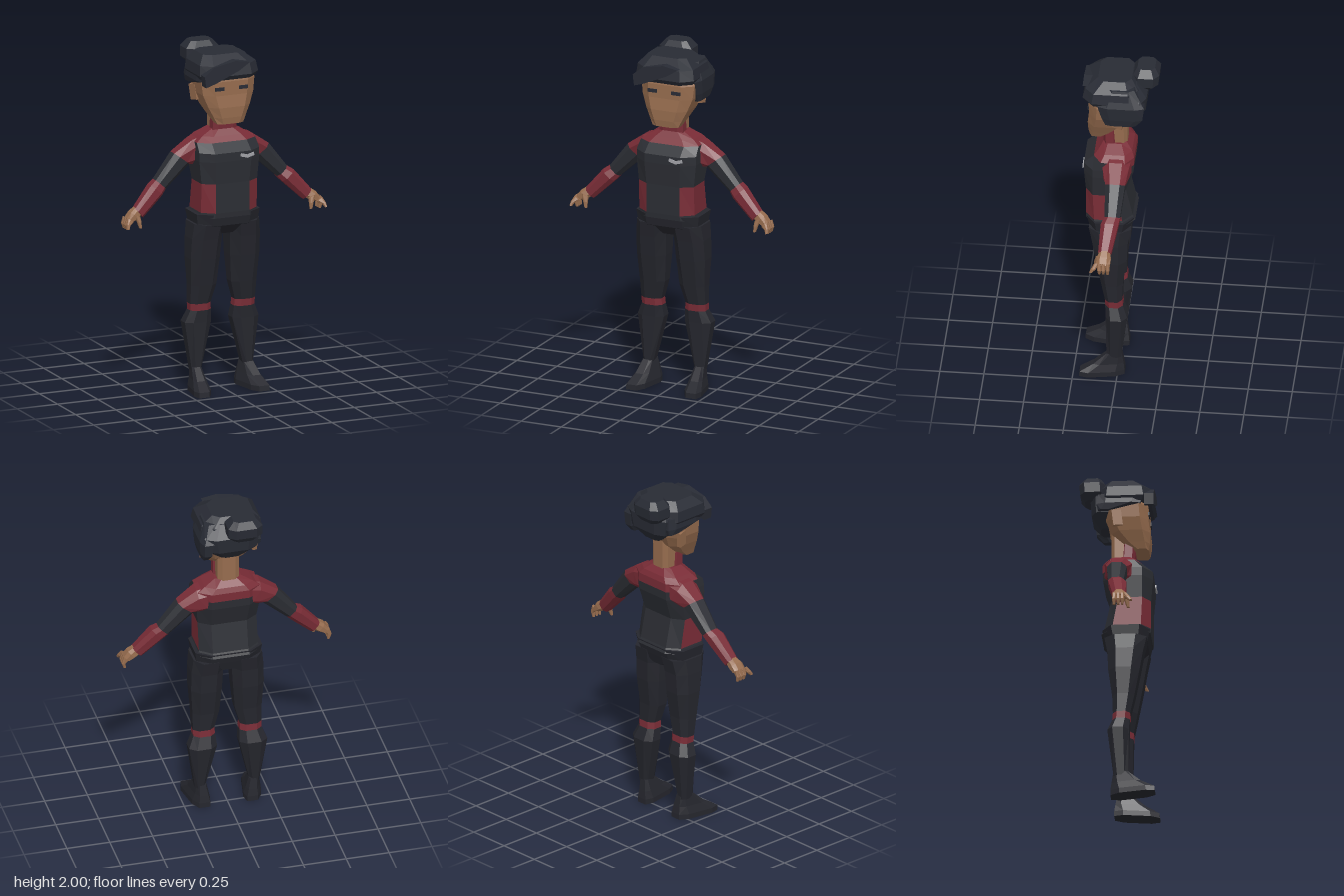
import * as THREE from 'three';

const paint = (name, color) => {
  const m = new THREE.MeshStandardMaterial({ color });
  m.name = name;
  return m;
};

// Eight-sided chamfered outline; k sets how long the flat sides are.
const outline = (k) => [[1, -k], [1, k], [k, 1], [-k, 1], [-1, k], [-1, -k], [-k, -1], [k, -1]];

// Level ring: centre x, height, half width, front z, back z.
function levelRing([cx, y, hw, zf, zb], k = 0.6) {
  return outline(k).map(([a, b]) => new THREE.Vector3(cx + a * hw, y, (zf + zb) / 2 + (b * (zf - zb)) / 2));
}

// Limb ring: top x, top y, bottom x, bottom y, front z, back z.
function limbRing([tx, ty, bx, by, zf, zb], k = 0.5) {
  return outline(k).map(([a, b]) => new THREE.Vector3(
    (tx + bx) / 2 + (a * (tx - bx)) / 2,
    (ty + by) / 2 + (a * (ty - by)) / 2,
    (zf + zb) / 2 + (b * (zf - zb)) / 2));
}

// Faceted skin through the rings, capped at both ends; pick(band, side) gives the material.
function loft(name, rings, pick) {
  const choose = typeof pick === 'function' ? pick : () => pick;
  const buckets = new Map();
  let volume = 0;
  const tri = (mat, a, b, c) => {
    if (!buckets.has(mat)) buckets.set(mat, []);
    buckets.get(mat).push([a, b, c]);
    volume += a.dot(new THREE.Vector3().crossVectors(b, c));
  };
  const n = rings[0].length;
  for (let i = 0; i < rings.length - 1; i++) {
    for (let j = 0; j < n; j++) {
      const k = (j + 1) % n, m = choose(i, j);
      tri(m, rings[i][j], rings[i + 1][j], rings[i + 1][k]);
      tri(m, rings[i][j], rings[i + 1][k], rings[i][k]);
    }
  }
  const first = rings[0], last = rings[rings.length - 1];
  for (let j = 1; j < n - 1; j++) {
    tri(choose(0, 0), first[0], first[j], first[j + 1]);
    tri(choose(rings.length - 2, 0), last[0], last[j + 1], last[j]);
  }
  const geo = new THREE.BufferGeometry(), pos = [], mats = [];
  for (const [mat, tris] of buckets) {
    geo.addGroup(pos.length / 3, tris.length * 3, mats.length);
    mats.push(mat);
    for (const [a, b, c] of tris) {
      for (const p of volume > 0 ? [a, b, c] : [a, c, b]) pos.push(p.x, p.y, p.z);
    }
  }
  geo.setAttribute('position', new THREE.Float32BufferAttribute(pos, 3));
  geo.computeVertexNormals();
  const mesh = new THREE.Mesh(geo, mats.length > 1 ? mats : mats[0]);
  mesh.name = name;
  return mesh;
}

const mirror = (rings, s) => rings.map((r) => r.map((p) => new THREE.Vector3(p.x * s, p.y, p.z)));

export function createModel() {
  const model = new THREE.Group();
  model.name = 'figure';
  const shirt = paint('charcoal shirt', 0x2b2d33), pants = paint('dark trousers', 0x25262d);
  const red = paint('deep red', 0x792c36), skin = paint('brown skin', 0x966c4e);
  const hair = paint('black hair', 0x282b34), grey = paint('pale grey', 0xa0a1a6);
  const stack = (name, rows, mat, k) => {
    const mesh = loft(name, rows.map((r) => levelRing(r, k)), mat);
    model.add(mesh);
    return mesh;
  };
  const box = (name, w, h, d, x, y, z, mat) => {
    const mesh = new THREE.Mesh(new THREE.BoxGeometry(w, h, d), mat);
    mesh.name = name;
    mesh.position.set(x, y, z);
    model.add(mesh);
    return mesh;
  };

  // Pelvis and torso, with red yoke and waist panels
  stack('pelvis', [[0, 0.92, 0.06, 0.11, -0.05], [0, 0.98, 0.185, 0.165, -0.07], [0, 1.05, 0.195, 0.18, -0.09]], pants);
  stack('torso', [
    [0, 1.03, 0.18, 0.183, -0.095], [0, 1.06, 0.172, 0.186, -0.08], [0, 1.23, 0.172, 0.186, -0.042],
    [0, 1.36, 0.185, 0.197, -0.085], [0, 1.41, 0.185, 0.197, -0.088], [0, 1.46, 0.18, 0.14, -0.088],
    [0, 1.49, 0.14, 0.115, -0.075], [0, 1.525, 0.075, 0.09, -0.04],
  ], (i, j) => (i > 4 || (i === 4 && j > 4) || (i === 1 && [0, 1, 3, 4].includes(j)) ? red : shirt));
  for (const s of [-1, 1]) {
    box('chestTrim', 0.045, 0.018, 0.008, 0.085 + s * 0.019, 1.386, 0.2, grey).rotation.z = s * 0.28;
  }

  // Neck and collar
  stack('neck', [[0, 1.49, 0.062, 0.05, -0.045], [0, 1.74, 0.065, 0.06, -0.045]], skin);
  stack('collar', [[0, 1.47, 0.085, 0.105, 0.01], [0, 1.52, 0.074, 0.09, 0.015], [0, 1.61, 0.072, 0.095, 0.02]], red);

  // Head
  stack('head', [
    [0, 1.572, 0.08, 0.17, 0.09], [0, 1.61, 0.098, 0.176, 0.03], [0, 1.67, 0.128, 0.178, -0.035],
    [0, 1.74, 0.155, 0.17, -0.07], [0, 1.82, 0.165, 0.17, -0.1], [0, 1.9, 0.14, 0.15, -0.08],
  ], skin, 0.62);
  for (const s of [-1, 1]) {
    box('brow', 0.056, 0.02, 0.008, s * 0.073, 1.78, 0.172, hair);
    const ear = box('ear', 0.025, 0.09, 0.055, s * 0.152, 1.735, -0.005, skin);
    ear.rotation.set(-0.15, s * -0.25, s * -0.1);
  }

  // Hair: cap, back mass, side sweep, fringe and bun
  stack('hairCap', [
    [-0.005, 1.835, 0.165, 0.188, -0.1], [-0.005, 1.86, 0.18, 0.204, -0.12],
    [-0.008, 1.92, 0.172, 0.19, -0.11], [-0.02, 1.97, 0.12, 0.12, -0.07],
  ], hair, 0.65);
  stack('backHair', [
    [0, 1.715, 0.06, -0.045, -0.105], [0, 1.78, 0.14, -0.01, -0.152],
    [0.005, 1.87, 0.16, 0, -0.158], [0.005, 1.94, 0.1, 0, -0.1],
  ], hair);
  stack('sideHair', [
    [0.15, 1.715, 0.022, 0.07, -0.1], [0.145, 1.76, 0.036, 0.09, -0.14],
    [0.14, 1.84, 0.045, 0.115, -0.15], [0.1, 1.94, 0.05, 0.06, -0.09],
  ], hair);
  stack('nearSideHair', [
    [-0.15, 1.785, 0.02, -0.03, -0.11], [-0.145, 1.82, 0.035, 0.13, -0.12], [-0.135, 1.88, 0.04, 0.14, -0.11],
  ], hair);
  const sweep = new THREE.Shape([[-0.172, 1.805], [-0.11, 1.825], [0.03, 1.885], [0.1, 1.93], [0.01, 1.945], [-0.12, 1.92], [-0.18, 1.87]]
    .map(([x, y]) => new THREE.Vector2(x, y)));
  const fringe = new THREE.Mesh(new THREE.ExtrudeGeometry(sweep, { depth: 0.055, bevelEnabled: false }), hair);
  fringe.name = 'fringe';
  fringe.position.z = 0.15;
  model.add(fringe);
  stack('hairBun', [
    [-0.058, 1.865, 0.065, -0.09, -0.19], [-0.058, 1.9, 0.1, -0.07, -0.215],
    [-0.058, 1.96, 0.1, -0.072, -0.22], [-0.058, 2.0, 0.065, -0.095, -0.195],
  ], hair);

  for (const s of [-1, 1]) {
    const add = (name, rings, mat) => model.add(loft(name, mirror(rings, s), mat));

    // Leg with a red knee band: inner x, outer x, height, front z, back z
    const leg = [
      [0.13, 0.188, 0.12, 0.062, -0.022], [0.065, 0.228, 0.4, 0.066, -0.056], [0.072, 0.198, 0.47, 0.07, -0.03],
      [0.075, 0.2, 0.51, 0.072, -0.026], [0.045, 0.202, 0.62, 0.095, -0.03], [0.032, 0.212, 0.78, 0.125, -0.052],
      [0.025, 0.21, 0.9, 0.145, -0.058], [0.015, 0.2, 0.99, 0.165, -0.075],
    ].map(([a, b, y, zf, zb]) => levelRing([(a + b) / 2, y, (b - a) / 2, zf, zb], 0.5));
    add('leg', leg, (i) => (i === 2 ? red : pants));

    // Boot, with the toe turned outward
    const boot = [
      [0.147, 0, 0.052, 0.215, -0.04], [0.147, 0.03, 0.052, 0.212, -0.04],
      [0.148, 0.075, 0.04, 0.135, -0.034], [0.153, 0.14, 0.029, 0.062, -0.024],
    ].map((r) => levelRing(r, 0.6));
    boot.flat().forEach((p) => { p.x += 0.18 * p.z; });
    add('boot', boot, pants);

    // Arm: red shoulder, dark upper sleeve, red forearm
    const arm = [
      [0.11, 1.49, 0.14, 1.33, 0.085, -0.075], [0.185, 1.468, 0.17, 1.325, 0.085, -0.066],
      [0.292, 1.395, 0.2, 1.325, 0.06, -0.052], [0.405, 1.25, 0.345, 1.195, 0.052, -0.036],
      [0.44, 1.228, 0.372, 1.165, 0.07, -0.03], [0.545, 1.105, 0.495, 1.05, 0.074, 0.0],
    ].map((r) => limbRing(r));
    add('arm', arm, (i) => (i === 2 ? shirt : red));

    // Hand and curled fingers
    add('palm', [
      [0.538, 1.112, 0.503, 1.062, 0.066, 0.006], [0.572, 1.088, 0.528, 1.045, 0.08, 0.0],
      [0.6, 1.05, 0.562, 1.03, 0.08, 0.002],
    ].map((r) => limbRing(r)), skin);
    for (const z of [0.014, 0.038, 0.061]) {
      add('finger', [
        [0.6, 1.06, 0.568, 1.04, z + 0.012, z - 0.012], [0.612, 1.02, 0.59, 1.018, z + 0.011, z - 0.011],
        [0.602, 0.99, 0.588, 0.988, z + 0.007, z - 0.007],
      ].map((r) => limbRing(r)), skin);
    }
    add('indexFinger', [
      [0.598, 1.06, 0.565, 1.035, 0.092, 0.062], [0.614, 1.03, 0.594, 1.022, 0.108, 0.08],
      [0.617, 1.008, 0.605, 1.002, 0.118, 0.1],
    ].map((r) => limbRing(r)), skin);
    add('thumb', [
      [0.556, 1.075, 0.522, 1.06, 0.086, 0.056], [0.545, 1.035, 0.52, 1.032, 0.096, 0.07],
      [0.535, 1.0, 0.52, 0.998, 0.098, 0.082],
    ].map((r) => limbRing(r)), skin);
  }
  return model;
}
